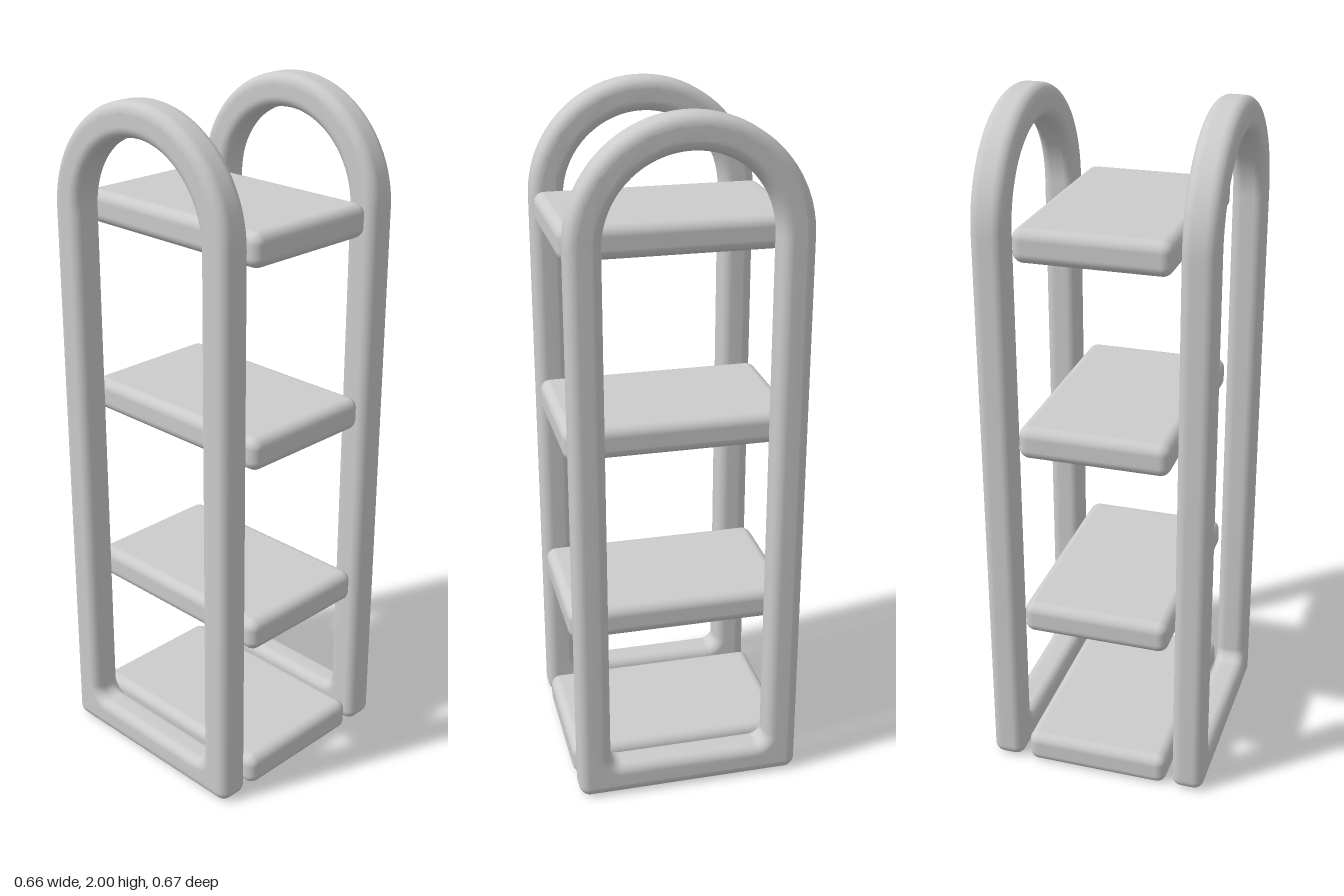
import * as THREE from 'three';
import { mergeVertices } from 'three/addons/utils/BufferGeometryUtils.js';
import { RoundedBoxGeometry } from 'three/addons/geometries/RoundedBoxGeometry.js';

const HALF = 0.333;   // half depth of the frame
const BAR = 0.096;    // bar thickness
const ROUND = 0.03;   // edge rounding
const SPRING = 2 - HALF; // height where the arch begins

// Arched outline: rounded bottom corners, semicircular top
function arch(target, half, bottom, r) {
  target.moveTo(-half + r, bottom);
  target.lineTo(half - r, bottom);
  target.absarc(half - r, bottom + r, r, -Math.PI / 2, 0, false);
  target.lineTo(half, SPRING);
  target.absarc(0, SPRING, half, 0, Math.PI, false);
  target.lineTo(-half, bottom + r);
  target.absarc(-half + r, bottom + r, r, Math.PI, Math.PI * 1.5, false);
  return target;
}

// Closed hoop with rounded edges, centred on x = 0
function hoopGeometry() {
  const shape = arch(new THREE.Shape(), HALF - ROUND, ROUND, 0.004);
  shape.holes.push(arch(new THREE.Path(), HALF - BAR + ROUND, BAR - ROUND, 0.035 + ROUND));
  let geo = new THREE.ExtrudeGeometry(shape, {
    depth: BAR - 2 * ROUND, bevelEnabled: true, bevelSize: ROUND,
    bevelThickness: ROUND, bevelSegments: 6, curveSegments: 24,
  });
  geo.translate(0, 0, ROUND - BAR / 2);
  geo.rotateY(Math.PI / 2);
  // Weld for smooth shading
  geo.deleteAttribute('normal');
  geo.deleteAttribute('uv');
  geo = mergeVertices(geo, 1e-5);
  geo.computeVertexNormals();
  return geo;
}

export function createModel() {
  const model = new THREE.Group();
  model.name = 'shelfUnit';
  const material = new THREE.MeshStandardMaterial({ color: 0xcccccc });

  // Side hoops
  const hoop = hoopGeometry();
  for (const [name, side] of [['leftFrame', 1], ['rightFrame', -1]]) {
    const mesh = new THREE.Mesh(hoop, material);
    mesh.name = name;
    mesh.position.x = side * 0.284;
    model.add(mesh);
  }

  // Shelves between the hoops
  const shelf = new RoundedBoxGeometry(0.434, BAR, HALF * 2, 5, ROUND);
  [0.048, 0.519, 1.087, 1.654].forEach((y, i) => {
    const mesh = new THREE.Mesh(shelf, material);
    mesh.name = `shelf${i + 1}`;
    mesh.position.y = y;
    model.add(mesh);
  });
  return model;
}
